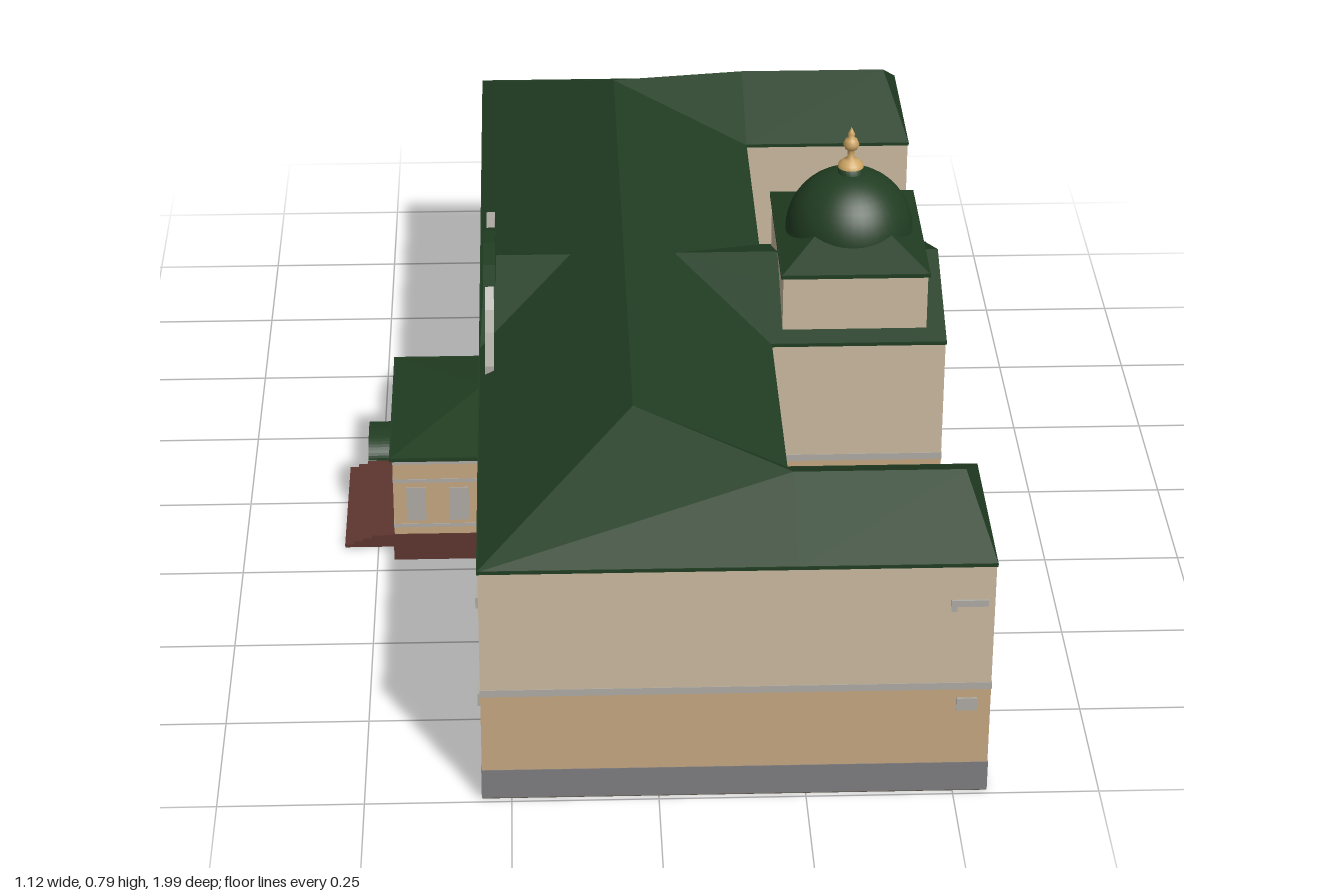
import * as THREE from 'three';

const mat = (color, side = THREE.FrontSide) => new THREE.MeshStandardMaterial({ color, side, flatShading: true });
const C = {
  roof: mat(0x213d22, THREE.DoubleSide), upper: mat(0xcabaa0), lower: mat(0xc5a782), plinth: mat(0x7e7e80),
  trim: mat(0xb0aca6), brick: mat(0x5e352e), dark: mat(0x2b2320), earth: mat(0x5e5647),
  dome: new THREE.MeshStandardMaterial({ color: 0x213d22, side: THREE.DoubleSide }),
  gold: new THREE.MeshStandardMaterial({ color: 0xcda563 }),
};
const ZC = 0.02; // symmetry line of the building

export function createModel() {
  const model = new THREE.Group();
  const add = (name, geo, material, parent = model) => {
    const m = new THREE.Mesh(geo, material);
    m.name = name;
    parent.add(m);
    return m;
  };
  // box from min / max limits
  const box = (name, x0, x1, y0, y1, z0, z1, material, parent) => {
    const m = add(name, new THREE.BoxGeometry(x1 - x0, y1 - y0, z1 - z0), material, parent);
    m.position.set((x0 + x1) / 2, (y0 + y1) / 2, (z0 + z1) / 2);
    return m;
  };
  // flat polygons, each fanned from its first corner
  const faces = (name, polys, material) => {
    const pos = [];
    for (const p of polys)
      for (let i = 1; i < p.length - 1; i++) pos.push(...p[0], ...p[i], ...p[i + 1]);
    const g = new THREE.BufferGeometry();
    g.setAttribute('position', new THREE.Float32BufferAttribute(pos, 3));
    g.computeVertexNormals();
    return add(name, g, material);
  };

  // E-shaped plan, grown outward by o
  const plan = (o) => {
    const half = [[0.55 + o, 0.2 + o], [0.23 + o, 0.2 + o], [0.23 + o, 0.645 - o], [0.558 + o, 0.645 - o],
      [0.558 + o, 0.97 + o], [-0.3 - o, 0.97 + o]];
    const all = [...half, ...half.map(([x, d]) => [x, -d]).reverse()];
    return new THREE.Shape(all.map(([x, d]) => new THREE.Vector2(x, -(ZC + d))));
  };
  const storey = (name, y0, y1, o, material) => {
    const g = new THREE.ExtrudeGeometry(plan(o), { depth: y1 - y0, bevelEnabled: false });
    g.rotateX(-Math.PI / 2);
    g.translate(0, y0, 0);
    add(name, g, material);
  };
  storey('groundSlab', 0, 0.002, 0, C.earth);
  storey('plinth', 0.002, 0.058, 0.001, C.plinth);
  storey('lowerWall', 0.058, 0.206, 0, C.lower);
  storey('stringCourse', 0.206, 0.219, 0.001, C.trim);
  storey('upperWall', 0.219, 0.447, 0, C.upper);
  storey('eaves', 0.447, 0.453, 0.002, C.roof);

  // main hipped roof with two wing roofs
  const E = 0.452, R = 0.59, W = 0.54, rx = -0.035;
  const roof = [
    [[-0.302, E, ZC - 0.97], [-0.302, E, ZC + 0.97], [rx, R, ZC + 0.665], [rx, R, ZC - 0.665]],
    [[0.232, E, ZC + 0.645], [0.232, E, ZC - 0.645], [rx, R, ZC - 0.665], [rx, R, ZC + 0.665]],
  ];
  for (const s of [1, -1]) {
    const P = (x, y, d) => [x, y, ZC + s * d];
    const top = P(rx, R, 0.665), bend = P(0.23, W, 0.81), end = P(0.52, W, 0.81);
    const list = [
      [P(-0.302, E, 0.972), P(0.23, E, 0.972), bend, top],
      [P(0.23, E, 0.972), P(0.56, E, 0.972), end, bend],
      [P(0.56, E, 0.972), P(0.56, E, 0.643), end],
      [P(0.56, E, 0.643), P(0.232, E, 0.643), bend, end],
      [P(0.232, E, 0.643), top, bend],
    ];
    roof.push(...list.map((p) => (s > 0 ? p : p.reverse())));
  }
  faces('mainRoof', roof, C.roof);

  // cross gables: front bay and rear dormer
  const gable = (name, xWall, xValley, xEave) => {
    const ridge = [[xWall, W, ZC], [xValley, W, ZC]];
    faces(name, [1, -1].map((s) => {
      const p = [[xWall, E, ZC + s * 0.202], [xEave, E, ZC + s * 0.202], ridge[1], ridge[0]];
      return s * (xWall - xValley) > 0 ? p.reverse() : p;
    }).map((p) => p.reverse()), C.roof);
  };
  gable('bayRoof', 0.552, 0.06, 0.23);
  gable('dormerRoof', -0.29, -0.13, -0.3);
  faces('bayGable', [[[0.55, E - 0.006, ZC + 0.2], [0.55, E - 0.006, ZC - 0.2], [0.55, W - 0.002, ZC]]], C.upper);

  // square tower, pyramid roof, dome and finial
  const tower = new THREE.Group();
  tower.name = 'tower';
  tower.position.set(0.385, 0, ZC);
  model.add(tower);
  box('towerDrum', -0.132, 0.132, 0.44, 0.573, -0.17, 0.17, C.upper, tower);
  box('towerEaves', -0.136, 0.136, 0.571, 0.578, -0.174, 0.174, C.roof, tower);
  const pyr = new THREE.ConeGeometry(Math.SQRT2, 0.08, 4, 1, true);
  pyr.rotateY(Math.PI / 4);
  pyr.scale(0.136, 1, 0.174);
  add('towerRoof', pyr, C.roof, tower).position.y = 0.617;
  const lathe = (name, pts, material, seg) =>
    add(name, new THREE.LatheGeometry(pts.map(([r, y]) => new THREE.Vector2(r, y)), seg), material, tower);
  const domePts = [[0.124, 0.578]];
  for (let i = 0; i <= 12; i++) {
    const a = (i / 12) * Math.PI / 2;
    domePts.push([Math.max(0.118 * Math.cos(a), 0.0001), 0.588 + 0.117 * Math.sin(a)]);
  }
  lathe('dome', domePts, C.dome, 40);
  lathe('domeCollar', [[0.023, 0.695], [0.023, 0.714], [0.0001, 0.714]], C.dome, 20);
  lathe('finial', [[0.024, 0.714], [0.022, 0.721], [0.014, 0.728], [0.007, 0.732], [0.006, 0.746], [0.011, 0.75],
    [0.015, 0.759], [0.011, 0.769], [0.005, 0.774], [0.007, 0.779], [0.004, 0.785], [0.0001, 0.793]], C.gold, 20);

  // stepped parapet over the entrance side
  const prof = [[-0.31, 0.445], [0.31, 0.445], [0.31, 0.475], [0.2, 0.485], [0.15, 0.505], [0.11, 0.538],
    [-0.11, 0.538], [-0.15, 0.505], [-0.2, 0.485], [-0.31, 0.475]];
  const par = new THREE.ExtrudeGeometry(new THREE.Shape(prof.map(([z, y]) => new THREE.Vector2(z, y))),
    { depth: 0.016, bevelEnabled: false });
  par.rotateY(-Math.PI / 2);
  add('parapet', par, C.trim).position.set(-0.274, 0, ZC);
  const cap = new THREE.Shape([[-0.12, 0.537], [0.12, 0.537], [0.07, 0.556], [0, 0.566], [-0.07, 0.556]]
    .map(([z, y]) => new THREE.Vector2(z, y)));
  const capGeo = new THREE.ExtrudeGeometry(cap, { depth: 0.023, bevelEnabled: false });
  capGeo.rotateY(-Math.PI / 2);
  add('parapetCap', capGeo, C.roof).position.set(-0.27, 0, ZC);

  // entrance porch
  const pz0 = ZC - 0.19, pz1 = ZC + 0.19, px = -0.467;
  box('porchBase', px - 0.002, -0.3, 0, 0.055, pz0 - 0.002, pz1 + 0.002, C.brick);
  box('porchWall', px, -0.3, 0.055, 0.214, pz0, pz1, C.lower);
  for (const y of [0.07, 0.166, 0.205])
    box('porchBand', px - 0.001, -0.3, y, y + 0.007, pz0 - 0.001, pz1 + 0.001, C.trim);
  box('porchEaves', px - 0.006, -0.3, 0.214, 0.221, pz0 - 0.007, pz1 + 0.007, C.roof);
  const apex = [-0.3, 0.265, ZC], A = [-0.3, 0.22, pz0 - 0.007], B = [px - 0.006, 0.22, pz0 - 0.007],
    D = [px - 0.006, 0.22, pz1 + 0.007], F = [-0.3, 0.22, pz1 + 0.007];
  faces('porchRoof', [[A, B, apex], [B, D, apex], [D, F, apex]].map((p) => p.slice()), C.roof);
  box('door', px - 0.003, px, 0.03, 0.15, ZC - 0.045, ZC + 0.045, C.dark);
  for (const s of [-1, 1]) {
    box('porchWindow', px - 0.002, px, 0.085, 0.155, ZC + s * 0.125 - 0.025, ZC + s * 0.125 + 0.025, C.trim);
    for (const x of [-0.425, -0.345])
      box('sideWindow', x - 0.018, x + 0.018, 0.085, 0.155, ZC + s * 0.19 - 0.002, ZC + s * 0.19 + 0.002, C.trim);
  }
  // arched canopy above the door
  const arch = new THREE.CylinderGeometry(0.06, 0.06, 0.048, 16, 1, true, 0, Math.PI);
  arch.rotateZ(Math.PI / 2);
  arch.rotateX(0);
  arch.computeBoundingBox();
  const canopy = new THREE.Shape();
  canopy.absellipse(0, 0, 0.062, 0.035, 0, Math.PI, false);
  canopy.absellipse(0, 0, 0.052, 0.026, Math.PI, 0, true);
  const canopyGeo = new THREE.ExtrudeGeometry(canopy, { depth: 0.05, bevelEnabled: false, curveSegments: 12 });
  canopyGeo.rotateY(-Math.PI / 2);
  add('doorCanopy', canopyGeo, C.roof).position.set(-0.467, 0.14, ZC);
  // steps
  for (let i = 0; i < 4; i++)
    box('step', -0.563 + i * 0.017, px, i * 0.0063, (i + 1) * 0.0063, ZC - 0.145, ZC + 0.145, C.brick);

  // small sheltered basement entrances
  for (const [x, z] of [[-0.257, -0.975], [-0.328, -0.325]]) {
    const g = new THREE.Group();
    g.name = 'basementEntrance';
    g.position.set(x, 0, z);
    model.add(g);
    box('entranceBase', -0.025, 0.025, 0, 0.014, -0.024, 0.024, C.plinth, g);
    box('entranceRoof', -0.028, 0.028, 0.045, 0.053, -0.025, 0.025, C.roof, g);
    for (const sx of [-1, 1]) for (const sz of [-1, 1])
      box('entrancePost', sx * 0.022 - 0.002, sx * 0.022 + 0.002, 0.014, 0.045,
        sz * 0.021 - 0.002, sz * 0.021 + 0.002, C.dark, g);
  }

  // wall plates near the corners
  box('upperPlate', 0.485, 0.547, 0.371, 0.383, 0.988, 0.994, C.trim);
  box('upperBracket', 0.485, 0.495, 0.362, 0.371, 0.988, 0.994, C.trim);
  box('lowerPlate', 0.5, 0.535, 0.165, 0.189, 0.988, 0.994, C.trim);
  box('sideUpperPlate', -0.305, -0.299, 0.362, 0.383, 0.91, 0.96, C.trim);
  box('sideLowerPlate', -0.305, -0.299, 0.165, 0.189, 0.92, 0.955, C.trim);
  return model;
}
